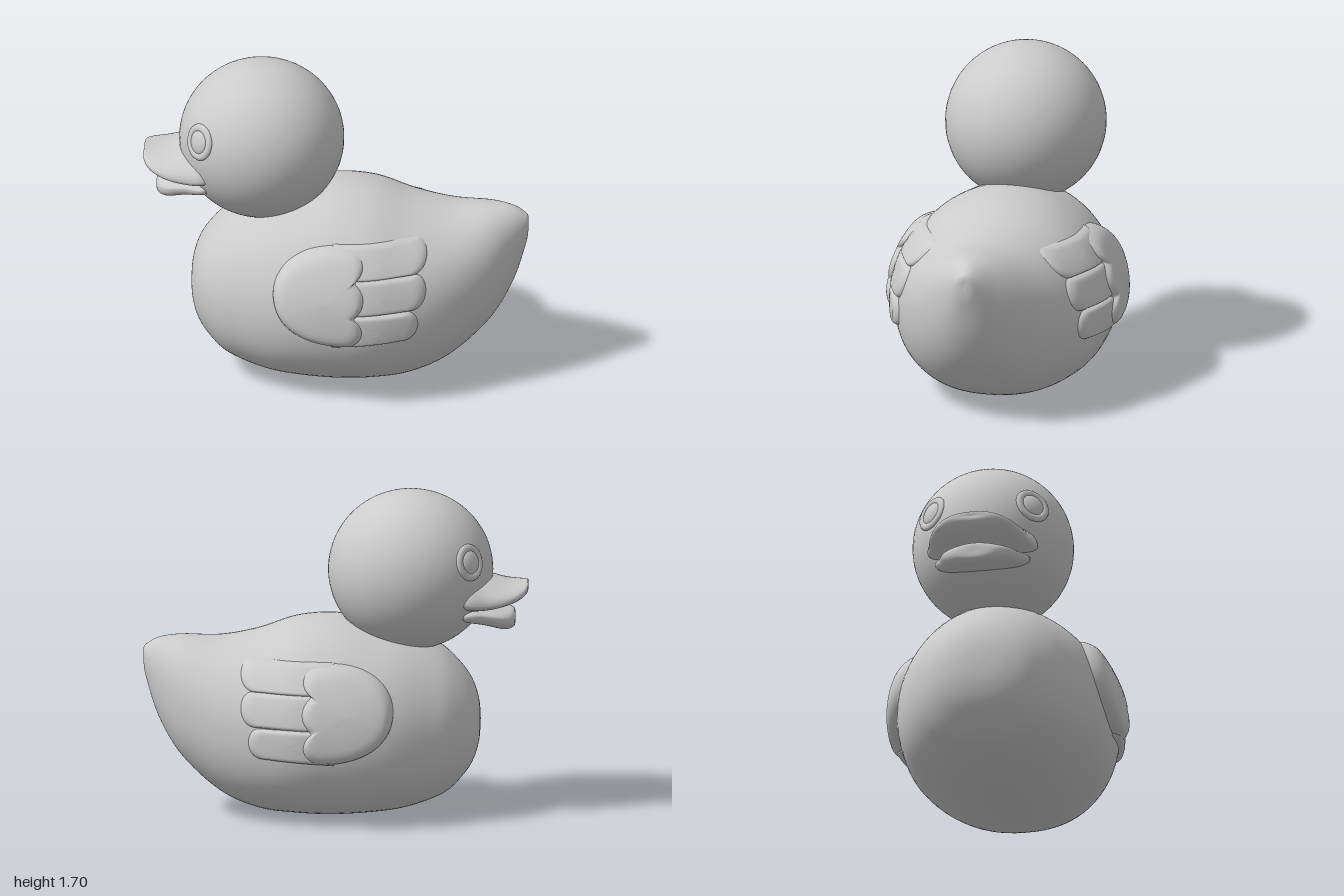
import * as THREE from 'three';

const material = new THREE.MeshStandardMaterial({ color: 0xcccccc, roughness: 0.6 });

// Smooth interpolation through rows of section values, t in 0..1
function sample(rows, t) {
  const f = Math.min(Math.max(t, 0), 1) * (rows.length - 1);
  const i = Math.min(Math.floor(f), rows.length - 2), u = f - i;
  const at = k => rows[Math.min(Math.max(k, 0), rows.length - 1)];
  const [a, b, c, d] = [at(i - 1), at(i), at(i + 1), at(i + 2)];
  return b.map((_, k) => 0.5 * (2 * b[k] + (c[k] - a[k]) * u
    + (2 * a[k] - 5 * b[k] + 4 * c[k] - d[k]) * u * u
    + (3 * b[k] - a[k] - 3 * c[k] + d[k]) * u * u * u));
}

// Geometry from a grid of points, wrapped in j
function gridGeometry(points, rows, cols, flip = false) {
  const index = [];
  for (let i = 0; i < rows - 1; i++) {
    for (let j = 0; j < cols; j++) {
      const a = i * cols + j, b = i * cols + (j + 1) % cols, c = a + cols, d = b + cols;
      if (flip) index.push(a, b, c, b, d, c);
      else index.push(a, c, b, b, c, d);
    }
  }
  const g = new THREE.BufferGeometry();
  g.setAttribute('position', new THREE.Float32BufferAttribute(points, 3));
  g.setIndex(index);
  g.computeVertexNormals();
  return g;
}

// Loft along x through rows of [x, bottom, top, halfWidth, widestY]
const LOWER = 2.3;
function loft(rows, steps, sides) {
  const pts = [];
  for (let i = 0; i <= steps; i++) {
    const [x, bottom, top, w, mid] = sample(rows, i / steps);
    for (let j = 0; j < sides; j++) {
      const a = j / sides * Math.PI * 2, c = Math.cos(a), s = Math.sin(a);
      const e = s < 0 ? 2 / LOWER : 1;
      const y = s < 0 ? mid - (mid - bottom) * Math.pow(-s, e) : mid + (top - mid) * s;
      pts.push(x, y, Math.max(w, 0) * Math.sign(c) * Math.pow(Math.abs(c), e));
    }
  }
  return gridGeometry(pts, steps + 1, sides);
}

const BODY = [
  [-0.755, 0.49, 0.49, 0, 0.49], [-0.745, 0.37, 0.60, 0.13, 0.48], [-0.70, 0.25, 0.72, 0.25, 0.48],
  [-0.60, 0.135, 0.84, 0.36, 0.47], [-0.50, 0.08, 0.91, 0.425, 0.46], [-0.35, 0.035, 0.975, 0.50, 0.46],
  [-0.20, 0.015, 1.01, 0.545, 0.46], [0, 0.003, 1.045, 0.565, 0.46], [0.20, 0.01, 1.03, 0.56, 0.46],
  [0.40, 0.035, 0.965, 0.50, 0.47], [0.60, 0.12, 0.93, 0.405, 0.52], [0.80, 0.30, 0.935, 0.265, 0.62],
  [0.92, 0.50, 0.92, 0.14, 0.72], [0.985, 0.70, 0.885, 0.06, 0.80], [1, 0.78, 0.865, 0.025, 0.83],
  [1, 0.83, 0.83, 0, 0.83],
];
const UPPER_BILL = [
  [-1, 1.20, 1.20, 0, 1.20], [-1, 1.175, 1.225, 0.11, 1.20], [-0.96, 1.14, 1.225, 0.19, 1.175],
  [-0.88, 1.11, 1.235, 0.24, 1.15], [-0.78, 1.09, 1.265, 0.268, 1.14], [-0.68, 1.09, 1.29, 0.29, 1.15],
  [-0.58, 1.12, 1.25, 0.24, 1.17], [-0.55, 1.17, 1.17, 0, 1.17],
];
const LOWER_BILL = [
  [-0.935, 1.03, 1.03, 0, 1.03], [-0.93, 0.99, 1.075, 0.10, 1.035], [-0.88, 0.975, 1.09, 0.17, 1.05],
  [-0.78, 1.0, 1.11, 0.21, 1.07], [-0.66, 1.03, 1.12, 0.24, 1.08], [-0.55, 1.08, 1.08, 0, 1.08],
];

// Side surface of the body at (x, y)
function bodyZ(x, y) {
  let lo = 0, hi = 1;
  for (let k = 0; k < 24; k++) {
    const m = (lo + hi) / 2;
    if (sample(BODY, m)[0] < x) lo = m; else hi = m;
  }
  const [, bottom, top, w, mid] = sample(BODY, lo);
  const p = y < mid ? LOWER : 2;
  const r = Math.min(y < mid ? (mid - y) / (mid - bottom) : (y - mid) / (top - mid), 1);
  return w * Math.pow(1 - Math.pow(r, p), 1 / p);
}

// Raised pad with a rounded rim that follows the body surface
function pad(shape, center, height, side) {
  const N = 96, outline = shape.getSpacedPoints(N).slice(0, N);
  const rings = [0, 0.25, 0.5, 0.7, 0.8, 0.86, 0.91, 0.95, 0.98, 1];
  const ccw = !THREE.ShapeUtils.isClockWise(outline);
  const pts = [];
  for (const r of rings) {
    const rim = Math.max(0, (r - 0.76) / 0.24);
    const h = height * (1.2 * Math.sqrt(1 - rim * rim) - 0.2);
    for (const p of outline) {
      const x = center[0] + (p.x - center[0]) * r, y = center[1] + (p.y - center[1]) * r;
      pts.push(x, y, side * (bodyZ(x, y) + h));
    }
  }
  return gridGeometry(pts, rings.length, N, (side < 0) === ccw);
}

// Wing cover: round in front, three scallops behind
function coverShape() {
  const s = new THREE.Shape();
  s.moveTo(0.10, 0.86);
  s.bezierCurveTo(-0.10, 0.89, -0.305, 0.80, -0.305, 0.62);
  s.bezierCurveTo(-0.305, 0.45, -0.14, 0.345, 0.10, 0.355);
  s.bezierCurveTo(0.19, 0.38, 0.20, 0.47, 0.125, 0.52);
  s.bezierCurveTo(0.20, 0.57, 0.20, 0.67, 0.125, 0.715);
  s.bezierCurveTo(0.20, 0.75, 0.19, 0.85, 0.10, 0.86);
  return s;
}

// Single feather with a rounded tip
function featherShape(x0, x1, low, high, lift) {
  const s = new THREE.Shape();
  s.moveTo(x0, low);
  s.lineTo(x1 - 0.06, low + lift);
  s.bezierCurveTo(x1 + 0.015, low + lift + 0.02, x1 + 0.015, high - 0.02, x1 - 0.05, high);
  s.lineTo(x0, high);
  s.closePath();
  return s;
}

export function createModel() {
  const duck = new THREE.Group();
  duck.name = 'duck';
  const add = (parent, name, geometry) => {
    const m = new THREE.Mesh(geometry, material);
    m.name = name;
    parent.add(m);
    return m;
  };

  add(duck, 'body', loft(BODY, 90, 72));

  const head = add(duck, 'head', new THREE.SphereGeometry(1, 64, 48));
  head.scale.set(0.43, 0.42, 0.42);
  head.position.set(-0.39, 1.285, 0);

  add(duck, 'upperBill', loft(UPPER_BILL, 42, 48));
  add(duck, 'lowerBill', loft(LOWER_BILL, 36, 48));

  for (const side of [1, -1]) {
    const label = side > 0 ? 'left' : 'right';

    // Eye: low dome inside a soft raised ring
    const eye = new THREE.Group();
    eye.name = label + 'Eye';
    const out = new THREE.Vector3(-0.32, 0.09, side * 0.275).normalize();
    eye.position.set(-0.39, 1.285, 0).addScaledVector(out, 0.415);
    eye.quaternion.setFromUnitVectors(new THREE.Vector3(0, 0, 1), out);
    add(eye, 'eyeball', new THREE.SphereGeometry(0.066, 32, 20)).scale.z = 0.4;
    add(eye, 'eyeRing', new THREE.TorusGeometry(0.075, 0.022, 14, 40)).scale.z = 0.7;
    duck.add(eye);

    // Wing: cover over three long feathers
    const wing = new THREE.Group();
    wing.name = label + 'Wing';
    add(wing, 'wingCover', pad(coverShape(), [-0.05, 0.61], 0.058, side));
    const feathers = [[0.495, 0.705, 0.87, 0.01], [0.495, 0.525, 0.715, 0.015], [0.455, 0.35, 0.535, 0.025]];
    for (const [tip, low, high, lift] of feathers) {
      add(wing, 'feather', pad(featherShape(0, tip, low, high, lift),
        [0.26, (low + high) / 2], 0.03, side));
    }
    duck.add(wing);
  }
  return duck;
}
